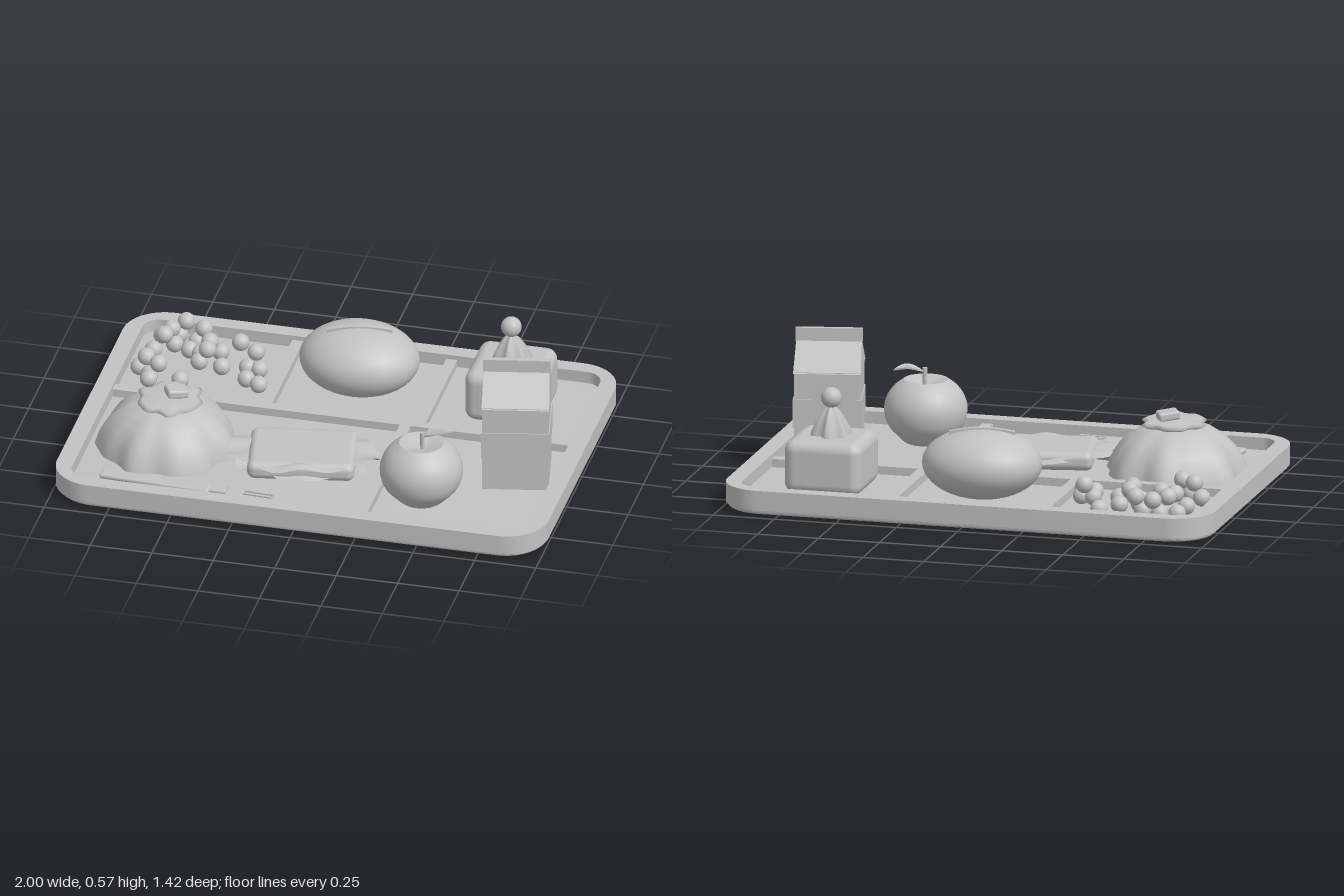
import * as THREE from 'three';
import { mergeVertices, toCreasedNormals } from 'three/addons/utils/BufferGeometryUtils.js';
import { RoundedBoxGeometry } from 'three/addons/geometries/RoundedBoxGeometry.js';

const FLOOR = 0.05;
const grey = new THREE.MeshStandardMaterial({ color: 0xc2c2c2, side: THREE.DoubleSide });
grey.name = 'plain grey';

function add(parent, name, geometry, x = 0, y = 0, z = 0, ry = 0) {
  const mesh = new THREE.Mesh(geometry, grey);
  mesh.name = name;
  mesh.position.set(x, y, z);
  mesh.rotation.y = ry;
  parent.add(mesh);
  return mesh;
}

function group(parent, name, x, y, z, ry = 0) {
  const g = new THREE.Group();
  g.name = name;
  g.position.set(x, y, z);
  g.rotation.y = ry;
  parent.add(g);
  return g;
}

// Moves every vertex by a rule, then rebuilds smooth normals without a seam
function deform(geometry, rule) {
  const p = geometry.attributes.position;
  const v = new THREE.Vector3();
  for (let i = 0; i < p.count; i++) {
    rule(v.fromBufferAttribute(p, i));
    p.setXYZ(i, v.x, v.y, v.z);
  }
  geometry.deleteAttribute('uv');
  geometry.deleteAttribute('normal');
  const merged = mergeVertices(geometry, 1e-5);
  merged.computeVertexNormals();
  return merged;
}

const lathe = (pts, n = 40) => new THREE.LatheGeometry(pts.map(([x, y]) => new THREE.Vector2(x, y)), n);

function roundedRect(w, d, r, T = THREE.Shape) {
  const s = new T();
  s.moveTo(w - r, -d);
  s.absarc(w - r, -d + r, r, -Math.PI / 2, 0);
  s.absarc(w - r, d - r, r, 0, Math.PI / 2);
  s.absarc(-w + r, d - r, r, Math.PI / 2, Math.PI);
  s.absarc(-w + r, -d + r, r, Math.PI, Math.PI * 1.5);
  s.closePath();
  return s;
}

// Extrudes a plan shape upward
function slab(shape, depth, bevel = 0) {
  const g = new THREE.ExtrudeGeometry(shape, {
    depth, curveSegments: 8, bevelEnabled: bevel > 0, bevelSize: bevel, bevelThickness: bevel, bevelSegments: 3,
  });
  g.rotateX(-Math.PI / 2);
  return toCreasedNormals(g, 0.6);
}

function buildTray(root) {
  const tray = group(root, 'tray', 0, 0, 0);
  add(tray, 'trayBase', slab(roundedRect(0.975, 0.685, 0.15), 0.01, 0.02), 0, 0.02, 0);
  const rim = roundedRect(1, 0.71, 0.17);
  rim.holes.push(roundedRect(0.93, 0.645, 0.07, THREE.Path));
  add(tray, 'trayRim', slab(rim, 0.08), 0, 0.02, 0);
  // Dividers as [x, z, width, depth]
  for (const [x, z, w, d] of [
    [0, -0.11, 1.86, 0.045], [-0.315, -0.387, 0.045, 0.51],
    [0.31, -0.387, 0.045, 0.51], [0.26, 0.277, 0.045, 0.73],
  ]) add(tray, 'divider', new THREE.BoxGeometry(w, 0.04, d), x, 0.063, z);
}

function buildRoll(root) {
  const roll = group(root, 'breadRoll', 0, 0.19, -0.385);
  add(roll, 'rollBody', new THREE.SphereGeometry(1, 40, 24).scale(0.24, 0.14, 0.197));
  const cut = new THREE.BoxGeometry(0.26, 0.025, 0.02, 12, 1, 1);
  const bent = deform(cut, v => { v.y -= v.x * v.x * 0.9; });
  add(roll, 'rollCut', toCreasedNormals(bent, 0.6), 0, 0.133, 0, 0.23);
}

function buildCake(root) {
  const cake = group(root, 'cake', 0.617, 0, -0.385);
  add(cake, 'cakeBlock', new RoundedBoxGeometry(0.315, 0.217, 0.315, 4, 0.045), 0, 0.158, 0);
  // Star-shaped piped cream
  const cream = lathe([[0.085, 0], [0.078, 0.025], [0.058, 0.065], [0.035, 0.1], [0.012, 0.125], [0, 0.13]], 24);
  const star = deform(cream, v => {
    const k = 0.83 + 0.17 * Math.cos(6 * Math.atan2(v.x, v.z));
    v.x *= k * 1.04;
    v.z *= k * 1.04;
  });
  add(cake, 'creamStar', star, 0, 0.26, 0);
  add(cake, 'cherry', new THREE.SphereGeometry(0.041, 24, 16), 0, 0.416, 0);
}

function buildCarton(root) {
  const carton = group(root, 'carton', 0.765, 0, 0.12, 0.2);
  const box = (name, w, y0, y1, d) =>
    add(carton, name, new THREE.BoxGeometry(w, y1 - y0, d), 0, (y0 + y1) / 2, 0);
  box('cartonBody', 0.262, FLOOR, 0.415, 0.262);
  box('cartonBand', 0.27, 0.19, 0.305, 0.27);
  box('cartonFin', 0.264, 0.51, 0.567, 0.022);
  // Gable roof, closing from the square body to the fin
  const roof = new THREE.BoxGeometry(0.268, 0.105, 0.268);
  const gable = deform(roof, v => { if (v.y > 0) { v.z *= 0.08; v.x *= 0.97; } });
  add(carton, 'cartonRoof', toCreasedNormals(gable, 0.3), 0, 0.4625, 0);
}

function buildApple(root) {
  const apple = group(root, 'apple', 0.45, 0, 0.412);
  const half = new THREE.SplineCurve([
    [0, 0.065], [0.07, 0.05], [0.115, 0.085], [0.152, 0.13], [0.165, 0.19], [0.153, 0.24],
    [0.125, 0.28], [0.088, 0.308],
  ].map(([x, y]) => new THREE.Vector2(x, y))).getPoints(28);
  const skin = new THREE.LatheGeometry([...half, new THREE.Vector2(0.045, 0.296), new THREE.Vector2(0, 0.28)], 40);
  add(apple, 'appleBody', toCreasedNormals(skin, 0.6));
  add(apple, 'stem', new THREE.CylinderGeometry(0.01, 0.008, 0.075, 10), 0.004, 0.316, 0);
  // Pointed leaf, arched along its length
  const outline = new THREE.Shape();
  outline.moveTo(0, 0);
  outline.quadraticCurveTo(0.05, 0.07, 0.12, 0);
  outline.quadraticCurveTo(0.05, -0.07, 0, 0);
  const blade = new THREE.ExtrudeGeometry(outline, { depth: 0.006, bevelEnabled: false, curveSegments: 10 });
  blade.rotateX(-Math.PI / 2);
  const leaf = deform(blade, v => { v.y += 0.02 * Math.sin(v.x * 22) + 3 * v.z * v.z; });
  add(apple, 'leaf', toCreasedNormals(leaf, 0.7), 0.008, 0.335, 0, 0.4);
}

function buildMash(root) {
  const mash = group(root, 'mashedPotato', -0.63, 0, 0.22);
  const dome = lathe([[0.275, FLOOR], [0.262, 0.1], [0.23, 0.155], [0.19, 0.195], [0.14, 0.228], [0.08, 0.245], [0, 0.25]], 56);
  const mound = deform(dome, v => {
    const a = Math.atan2(v.z, v.x);
    const k = 1 + (0.035 * Math.sin(7 * a + 1) + 0.025 * Math.sin(11 * a)) * (0.3 + 2.5 * Math.max(0, 0.25 - v.y) * 2);
    v.x *= k;
    v.z *= k;
  });
  add(mash, 'mound', mound);
  // Wavy puddle of gravy
  const puddle = lathe([[0, -0.012], [0.11, -0.012], [0.128, 0], [0.11, 0.01], [0, 0.016]], 48);
  const gravy = deform(puddle, v => {
    const a = Math.atan2(v.z, v.x);
    const k = 1 + 0.07 * Math.sin(6 * a) + 0.05 * Math.sin(9 * a + 2);
    v.x *= k;
    v.z *= k * 1.08;
  });
  add(mash, 'gravy', gravy, 0.01, 0.253, 0);
  const butter = add(mash, 'butter', new RoundedBoxGeometry(0.085, 0.035, 0.075, 2, 0.01), 0.032, 0.283, -0.015, 0.5);
  butter.rotation.z = -0.12;
}

function buildSandwich(root) {
  const sandwich = group(root, 'sandwich', -0.075, 0, 0.24, 0.18);
  add(sandwich, 'slab', new RoundedBoxGeometry(0.425, 0.075, 0.315, 4, 0.03), 0, 0.087, 0);
  // Ruffled lettuce sheets, dipping and rising through the slab
  const sheet = (rx, rz, phase) => deform(new THREE.RingGeometry(0.001, 1, 56, 10).rotateX(-Math.PI / 2), v => {
    const r = Math.hypot(v.x, v.z), a = Math.atan2(v.z, v.x);
    const k = 1 + 0.05 * r * Math.sin(7 * a + phase);
    v.x *= rx * k;
    v.z *= rz * k;
    v.y = 0.018 * Math.sin(v.z * 48 + phase) * Math.cos(v.x * 9) + 0.006 * r * Math.sin(9 * a);
  });
  add(sandwich, 'lettuce', sheet(0.3, 0.185, 0.6), -0.005, 0.107, 0);
  add(sandwich, 'lowerLettuce', sheet(0.29, 0.18, 2.4), 0.01, 0.082, 0);
}

function buildCutlery(root) {
  add(root, 'napkin', new THREE.BoxGeometry(0.645, 0.006, 0.155), -0.47, 0.051, 0.545, -0.04);
  const fork = group(root, 'fork', -0.82, 0.066, 0.542, -0.06);
  add(fork, 'handle', new RoundedBoxGeometry(0.45, 0.022, 0.058, 3, 0.01), 0.225, 0, 0);
  add(fork, 'neck', new THREE.BoxGeometry(0.09, 0.012, 0.03), 0.48, 0, 0);
  add(fork, 'head', new RoundedBoxGeometry(0.07, 0.014, 0.08, 2, 0.006), 0.55, 0, 0);
  for (let i = 0; i < 4; i++)
    add(fork, 'tine', new THREE.BoxGeometry(0.13, 0.01, 0.012), 0.635, 0, (i - 1.5) * 0.022);
}

function buildPeas(root) {
  const peas = group(root, 'peas', 0, 0, 0);
  const pea = new THREE.SphereGeometry(0.035, 18, 12);
  // Each pea as [x, z, layer]
  for (const [x, z, layer] of [
    [-0.845, -0.555, 0], [-0.78, -0.575, 0], [-0.755, -0.59, 1], [-0.797, -0.52, 1], [-0.78, -0.497, 0],
    [-0.813, -0.465, 1], [-0.85, -0.433, 0], [-0.7, -0.54, 0], [-0.674, -0.55, 1], [-0.711, -0.465, 0],
    [-0.663, -0.45, 0], [-0.626, -0.455, 1], [-0.588, -0.48, 0], [-0.53, -0.572, 0], [-0.652, -0.385, 0],
    [-0.62, -0.39, 1], [-0.556, -0.365, 0], [-0.428, -0.417, 1], [-0.455, -0.385, 0], [-0.406, -0.38, 0],
    [-0.438, -0.294, 0], [-0.38, -0.262, 0], [-0.872, -0.289, 0], [-0.84, -0.278, 1], [-0.818, -0.24, 0],
    [-0.78, -0.235, 1], [-0.813, -0.203, 0], [-0.69, -0.225, 0],
  ]) add(peas, 'pea', pea, x, 0.085 + layer * 0.055, z);
}

export function createModel() {
  const root = new THREE.Group();
  root.name = 'lunchTray';
  for (const build of [buildTray, buildRoll, buildCake, buildCarton, buildApple, buildMash, buildSandwich, buildCutlery, buildPeas])
    build(root);
  return root;
}
